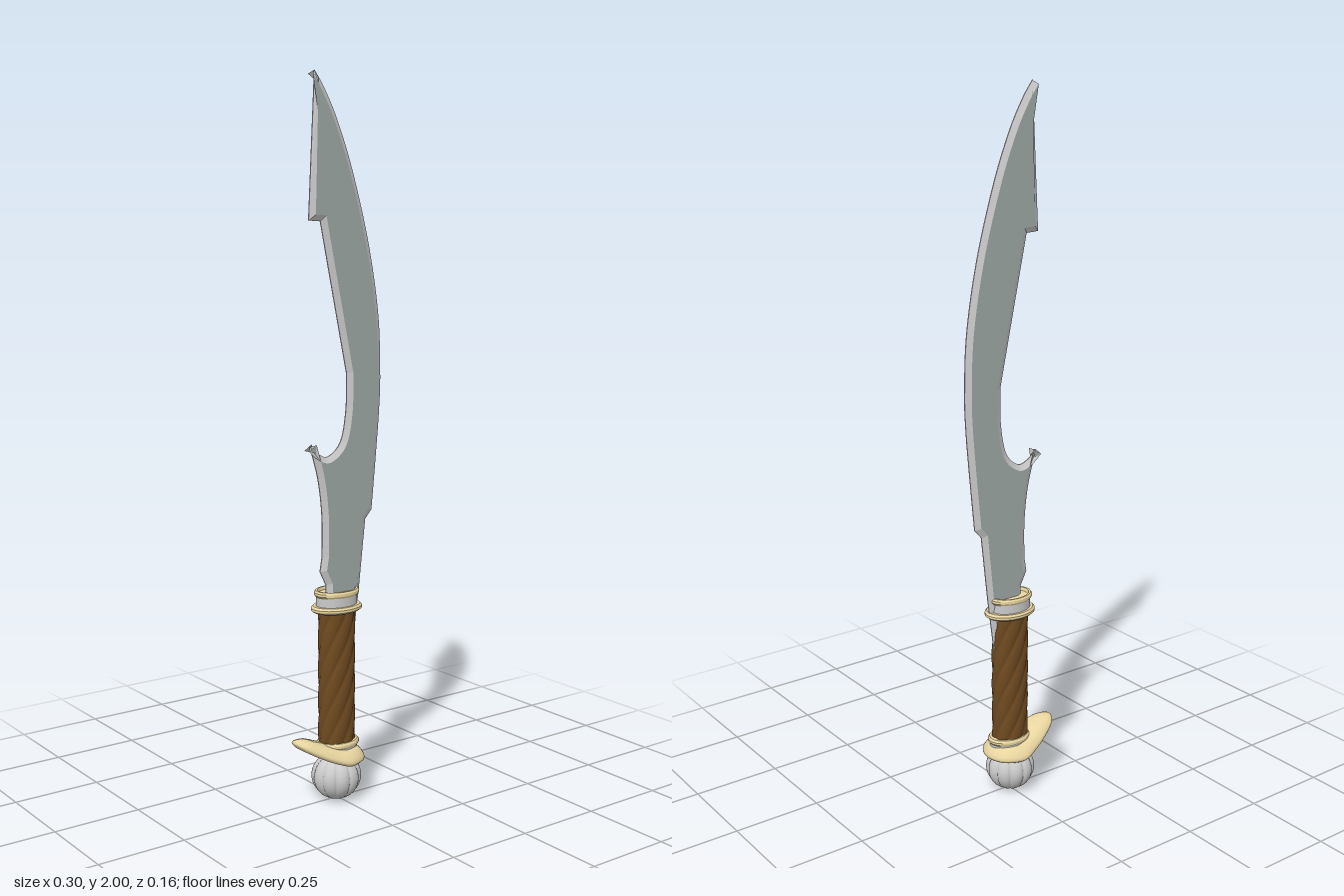
import * as THREE from 'three';

const mat = (color) => new THREE.MeshStandardMaterial({ color });
const GREY = mat(0xcccccc), STEEL = mat(0xa0aba7), IVORY = mat(0xe8d5a0), BROWN = mat(0x6e4a20);

// Skin closed rings; point(j, i) gives [x, y, z] for ring j (rising) at step i
function skin(rings, steps, point) {
  const pos = [], index = [];
  for (let j = 0; j < rings; j++) {
    for (let i = 0; i < steps; i++) {
      pos.push(...point(j, i));
      if (j === rings - 1) continue;
      const a = j * steps + i, b = j * steps + (i + 1) % steps;
      index.push(a, a + steps, b, b, a + steps, b + steps);
    }
  }
  const geo = new THREE.BufferGeometry();
  geo.setAttribute('position', new THREE.Float32BufferAttribute(pos, 3));
  geo.setIndex(index);
  geo.computeVertexNormals();
  return geo;
}

function add(group, name, geo, material) {
  const mesh = new THREE.Mesh(geo, material);
  mesh.name = name;
  group.add(mesh);
  return mesh;
}

// Oval turned band from [radius, y] pairs
function band(group, name, profile, material, x = 0) {
  const geo = new THREE.LatheGeometry(profile.map((p) => new THREE.Vector2(...p)), 40);
  const mesh = add(group, name, geo.toNonIndexed(), material);
  mesh.geometry.computeVertexNormals();
  mesh.scale.z = 0.74;
  mesh.position.x = x;
}

function bladeGeometry() {
  const v = (pts) => pts.map((p) => new THREE.Vector2(...p));
  const s = new THREE.Shape();
  s.moveTo(0.03, 0.45);
  s.lineTo(0.054, 0.45);
  s.lineTo(0.074, 0.6);
  s.lineTo(0.095, 0.79);
  s.lineTo(0.117, 0.815);
  // Cutting edge
  s.splineThru(v([[0.132, 0.97], [0.143, 1.1], [0.146, 1.2], [0.138, 1.36], [0.104, 1.55],
    [0.05, 1.74], [0, 1.87], [-0.042, 1.95], [-0.075, 1.997]]));
  // Stepped back and waist
  s.lineTo(-0.095, 1.61);
  s.lineTo(-0.057, 1.608);
  s.lineTo(0.03, 1.2);
  s.splineThru(v([[0.028, 1.1], [0.01, 1.015], [-0.03, 0.978], [-0.062, 0.985], [-0.093, 1.01]]));
  // Hook down to the root
  s.splineThru(v([[-0.066, 0.915], [-0.053, 0.81], [-0.053, 0.7]]));
  s.lineTo(-0.06, 0.66);
  s.lineTo(-0.04, 0.62);
  s.lineTo(-0.04, 0.56);
  s.lineTo(0.03, 0.56);
  const geo = new THREE.ExtrudeGeometry(s, {
    depth: 0.003, bevelEnabled: true, bevelThickness: 0.0095, bevelSize: 0.016,
    bevelOffset: -0.016, bevelSegments: 1, curveSegments: 24,
  });
  geo.translate(0, 0, -0.0015);
  return geo;
}

// Oval grip wrapped in spiralling strands
function gripGeometry() {
  const steps = 112, rings = 40, strands = 7;
  return skin(rings, steps, (j, i) => {
    const t = j / (rings - 1), a = (i / steps) * Math.PI * 2;
    const r = 0.9 + 0.12 * Math.sqrt(Math.abs(Math.sin((strands / 2) * (a + 4 * t))));
    return [-0.003 + 0.055 * r * Math.cos(a), 0.165 + 0.385 * t, 0.042 * r * Math.sin(a)];
  });
}

// Teardrop guard whose long end sweeps upward
function guardGeometry() {
  const half = [[0.055, 0.053], [0, 0.078], [-0.05, 0.066], [-0.1, 0.048], [-0.135, 0.029]];
  const pts = [[0.076, 0], ...half, [-0.149, 0], ...half.map(([x, z]) => [x, -z]).reverse()];
  const curve = new THREE.CatmullRomCurve3(pts.map(([x, z]) => new THREE.Vector3(x, 0, z)), true);
  const steps = 72, outline = curve.getPoints(steps);
  const levels = [[0, 0.11], [0.6, 0.11], [0.92, 0.112], [0.99, 0.117], [1, 0.122], [0.97, 0.129],
    [0.88, 0.139], [0.76, 0.148], [0.66, 0.151], [0, 0.151]];
  return skin(levels.length, steps, (j, i) => {
    const [k, h] = levels[j], x = outline[i].x * k;
    const lift = 0.068 * Math.pow(Math.max(0, -x) / 0.149, 1.4);
    return [x, h + lift, outline[i].z * k];
  });
}

// Ball with rounded vertical lobes
function pommelGeometry() {
  const steps = 120, rings = 28, lobes = 10;
  return skin(rings, steps, (j, i) => {
    const p = (j / (rings - 1)) * Math.PI, a = (i / steps) * Math.PI * 2;
    const r = 0.07 * Math.sin(p) * (0.9 + 0.1 * Math.sqrt(Math.abs(Math.cos((lobes / 2) * a))));
    return [-0.004 + r * Math.cos(a), 0.067 - 0.066 * Math.cos(p), r * Math.sin(a)];
  });
}

export function createModel() {
  const model = new THREE.Group();
  model.name = 'curvedSword';

  add(model, 'blade', bladeGeometry(), [STEEL, GREY]);
  add(model, 'grip', gripGeometry(), BROWN);
  add(model, 'guard', guardGeometry(), IVORY);
  add(model, 'pommel', pommelGeometry(), GREY);

  // Collar under the blade: wide ring, plain band, recessed top ring
  const collar = new THREE.Group();
  collar.name = 'upperCollar';
  band(collar, 'lowerRing', [[0.045, 0.544], [0.07, 0.544], [0.077, 0.549], [0.077, 0.556],
    [0.071, 0.562], [0.05, 0.562]], IVORY, -0.003);
  band(collar, 'collarBand', [[0.062, 0.56], [0.062, 0.59]], GREY, -0.003);
  band(collar, 'topRing', [[0.055, 0.588], [0.064, 0.588], [0.068, 0.593], [0.068, 0.6],
    [0.064, 0.605], [0.058, 0.605], [0.055, 0.596], [0, 0.596]], IVORY, -0.003);
  model.add(collar);

  // Collar above the guard
  const foot = new THREE.Group();
  foot.name = 'lowerCollar';
  band(foot, 'footBand', [[0.06, 0.13], [0.06, 0.16]], GREY);
  band(foot, 'footRing', [[0.05, 0.155], [0.062, 0.155], [0.066, 0.16], [0.066, 0.166],
    [0.061, 0.172], [0.045, 0.172]], IVORY);
  model.add(foot);

  return model;
}
